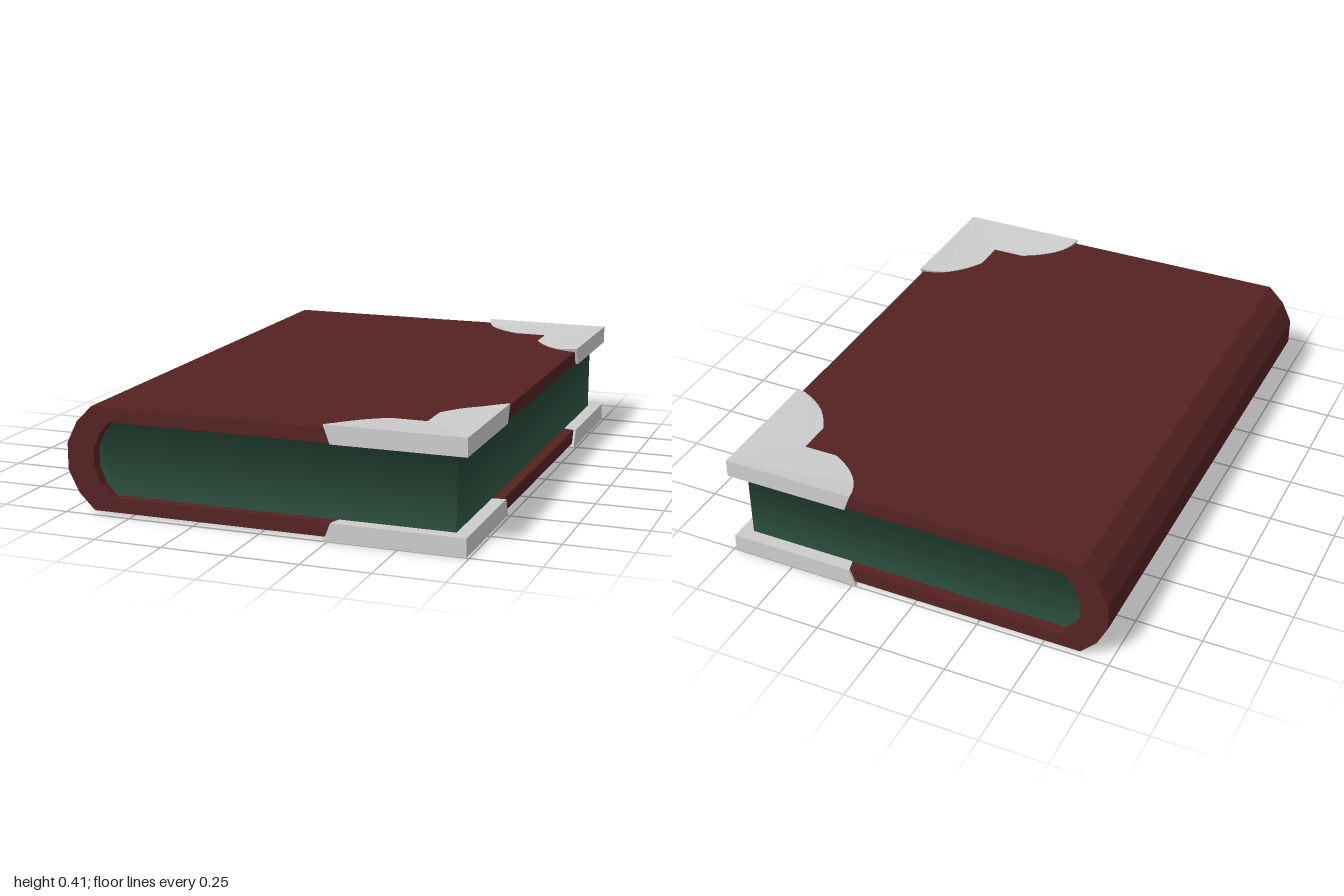
import * as THREE from 'three';

const MID = 0.205; // half the height of the book

// Extrude an xy outline along z, centred on z = 0
function slab(points, depth) {
  const shape = new THREE.Shape(points.map(([x, y]) => new THREE.Vector2(x, y)));
  const geo = new THREE.ExtrudeGeometry(shape, { depth, bevelEnabled: false });
  return geo.translate(0, 0, -depth / 2);
}

// Mirror an upper half profile to the lower half, giving a full side
const mirrored = (half) => [...half, ...half.map(([x, y]) => [x, -y]).reverse()];

// Metal corner cap: its corner is the origin, it spreads along -x and -z
function cornerGeometry() {
  const s = new THREE.Shape();
  s.moveTo(0, 0);
  s.lineTo(0, 0.505);
  s.quadraticCurveTo(-0.13, 0.485, -0.205, 0.335);
  s.lineTo(-0.205, 0.205);
  s.lineTo(-0.335, 0.205);
  s.quadraticCurveTo(-0.485, 0.13, -0.505, 0);
  s.closePath();
  const geo = new THREE.ExtrudeGeometry(s, { depth: 0.067, bevelEnabled: false, curveSegments: 8 });
  geo.rotateX(-Math.PI / 2).translate(0, 0.137, 0);
  const p = geo.attributes.position;
  for (let i = 0; i < p.count; i++) {
    const x = p.getX(i), z = p.getZ(i);
    const inset = Math.min(-x, -z);
    if (p.getY(i) > 0.17) {
      // the top slopes down onto the cover away from the outer edges
      if (inset > 0.001) p.setY(i, 0.204 - Math.min(inset * 0.12, 0.011));
    } else {
      // the ends slant back towards the corner below
      if (x < -0.3) p.setX(i, x + 0.025);
      if (z < -0.3) p.setZ(i, z + 0.025);
    }
  }
  geo.computeVertexNormals();
  return geo;
}

export function createModel() {
  const leather = new THREE.MeshStandardMaterial({ color: 0x552222 });
  leather.name = 'leather';
  const paper = new THREE.MeshStandardMaterial({ color: 0x264636 });
  paper.name = 'greenPaper';
  const metal = new THREE.MeshStandardMaterial({ color: 0xcccccc });
  metal.name = 'silver';

  const book = new THREE.Group();
  book.name = 'book';
  const body = new THREE.Group();
  body.name = 'bookBody';
  body.position.y = MID;
  book.add(body);

  const add = (name, geo, mat) => {
    const mesh = new THREE.Mesh(geo, mat);
    mesh.name = name;
    body.add(mesh);
    return mesh;
  };

  // Cover: one C-shaped profile with a faceted spine
  const outer = mirrored([[0.73, 0.19], [-0.64, 0.19], [-0.7, 0.13], [-0.74, 0.05]]);
  const inner = mirrored([[0.73, 0.138], [-0.57, 0.138], [-0.61, 0.095], [-0.635, 0.035]]);
  add('cover', slab([...outer, ...inner.reverse()], 1.98), leather);

  // Page block, filling the hollow of the spine
  const pages = mirrored([[0.69, 0.139], [-0.57, 0.139], [-0.61, 0.096], [-0.636, 0.035]]);
  const pageGeo = slab(pages, 1.9);
  // Hollowed page edges: normals lean towards the middle of the block
  const pos = pageGeo.attributes.position, nor = pageGeo.attributes.normal;
  const n = new THREE.Vector3();
  for (let i = 0; i < pos.count; i++) {
    n.fromBufferAttribute(nor, i);
    if (Math.abs(n.y) > 0.1) continue;
    n.y = -pos.getY(i) * 5;
    n.normalize();
    nor.setXYZ(i, n.x, n.y, n.z);
  }
  add('pages', pageGeo, paper);

  // Four metal corners, two on each cover board
  const cap = cornerGeometry();
  const places = [
    ['topFrontCorner', 1, 0, 0],
    ['topBackCorner', -1, 0, Math.PI / 2],
    ['bottomBackCorner', -1, Math.PI, 0],
    ['bottomFrontCorner', 1, Math.PI, Math.PI / 2],
  ];
  for (const [name, side, rx, ry] of places) {
    const corner = add(name, cap, metal);
    corner.position.set(0.74, 0, side);
    corner.rotation.set(rx, ry, 0);
  }
  return book;
}
